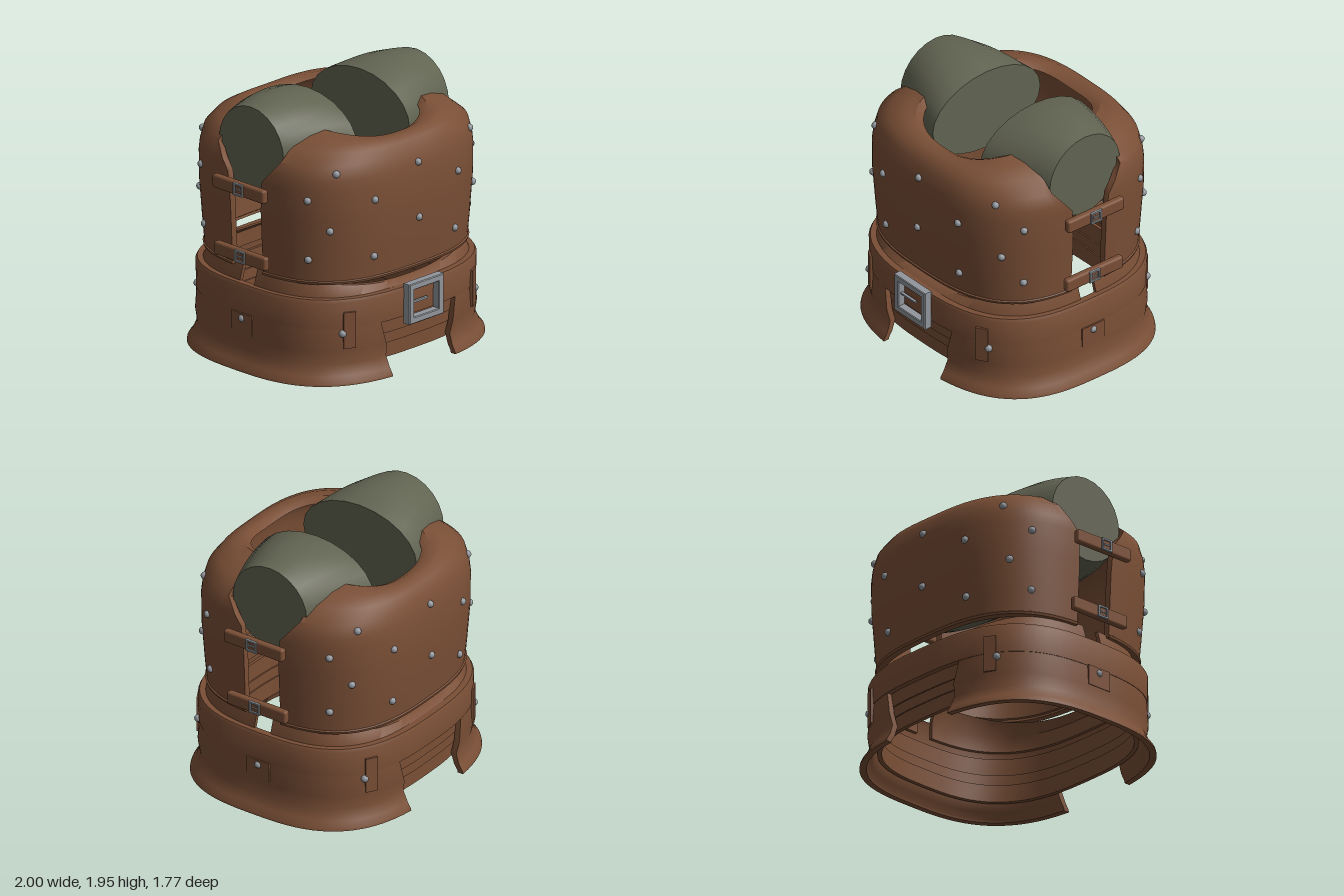
import * as THREE from 'three';
import { toCreasedNormals } from 'three/addons/utils/BufferGeometryUtils.js';
import { RoundedBoxGeometry } from 'three/addons/geometries/RoundedBoxGeometry.js';

const N = 2.85; // squareness of the body's plan outline
const leather = new THREE.MeshStandardMaterial({ color: 0x7a4f36 });
const olive = new THREE.MeshStandardMaterial({ color: 0x626452 });
const steel = new THREE.MeshStandardMaterial({ color: 0x92979d });
leather.name = 'brown leather';
olive.name = 'olive padding';
steel.name = 'grey steel';

const spow = (v, p) => Math.sign(v) * Math.pow(Math.abs(v), p);

// Thick curved shell facing +z. Row: [y, half width, half depth, z limit, dip at the middle].
// A limit of null closes the shell into a full ring.
function shell(rows, thick, steps = 40) {
  const inner = rows.map(([y, a, b, l, d]) => [y > 1.5 ? y - thick * 0.6 : y, a - thick, b - thick, l, d]).reverse();
  const loop = [...rows, ...inner], m = loop.length;
  const pos = [], index = [];
  for (let j = 0; j <= steps; j++) {
    for (const [y, a, b, l, dip = 0] of loop) {
      const max = l === null ? Math.PI : Math.acos(Math.pow(l / b, N / 2));
      const t = max * (2 * j / steps - 1);
      const x = a * spow(Math.sin(t), 2 / N), z = b * spow(Math.cos(t), 2 / N);
      pos.push(x, y - dip * (1 - (x / a) ** 2), z);
    }
  }
  const quad = (p, q, r, s) => index.push(p, q, r, p, r, s);
  for (let j = 0; j < steps; j++) for (let i = 0; i < m; i++) {
    const k = (i + 1) % m;
    quad(j * m + i, (j + 1) * m + i, (j + 1) * m + k, j * m + k);
  }
  if (rows[0][3] !== null) for (let i = 0; i < rows.length - 1; i++) {
    const e = steps * m;
    quad(i, i + 1, m - 2 - i, m - 1 - i);
    quad(e + m - 1 - i, e + m - 2 - i, e + i + 1, e + i);
  }
  const g = new THREE.BufferGeometry();
  g.setAttribute('position', new THREE.Float32BufferAttribute(pos, 3));
  g.setIndex(index);
  return toCreasedNormals(g, 0.7);
}

// Square buckle frame facing +z
function frame(w, h, bar, depth) {
  const s = new THREE.Shape();
  const rect = (p, x, y) => p.moveTo(-x, -y).lineTo(x, -y).lineTo(x, y).lineTo(-x, y).closePath();
  rect(s, w / 2, h / 2);
  s.holes.push(rect(new THREE.Path(), w / 2 - bar, h / 2 - bar));
  const e = bar * 0.12;
  return new THREE.ExtrudeGeometry(s, { depth: depth - 2 * e, bevelThickness: e, bevelSize: e, bevelOffset: -e, bevelSegments: 1 })
    .translate(0, 0, e - depth / 2);
}

export function createModel() {
  const root = new THREE.Group();
  root.name = 'leatherCuirass';
  const add = (name, geo, mat, x = 0, y = 0, z = 0, ry = 0) => {
    const mesh = new THREE.Mesh(geo, mat);
    mesh.name = name;
    mesh.position.set(x, y, z);
    mesh.rotation.y = ry;
    root.add(mesh);
    return mesh;
  };

  // Chest and back plates, curling over the shoulders to the neck
  const plateRows = [
    [0.72, 0.88, 0.795, 0.15], [0.738, 0.885, 0.8, 0.15], [0.745, 0.876, 0.79, 0.15],
    [0.9, 0.885, 0.805, 0.15], [1.2, 0.9, 0.83, 0.15], [1.42, 0.91, 0.825, 0.165],
    [1.5, 0.905, 0.815, 0.23], [1.6, 0.88, 0.79, 0.31], [1.69, 0.77, 0.745, 0.31, 0.025],
    [1.745, 0.63, 0.69, 0.34, 0.05], [1.77, 0.52, 0.63, 0.36, 0.075],
  ];
  const plate = shell(plateRows, 0.05);
  add('chestPlate', plate, leather);
  add('backPlate', plate, leather, 0, 0, 0, Math.PI);

  // Waist lining, open at the sides
  const lining = shell([[0.5, 0.885, 0.8, 0.07], [0.62, 0.885, 0.8, 0.07, 0.01], [0.75, 0.845, 0.745, 0.07, 0.1]], 0.03);
  add('frontLining', lining, leather);
  add('backLining', lining, leather, 0, 0, 0, Math.PI);

  // Belt and the overlapping inner bands below it
  const ring = (y0, y1, a, b, t) => shell([[y0, a, b, null], [y1, a, b, null]], t, 64);
  add('belt', shell([[0.405, 0.93, 0.84, null], [0.6, 0.932, 0.845, null], [0.622, 0.92, 0.835, null]], 0.05, 64), leather);
  add('lowerBand', ring(0.11, 0.24, 0.88, 0.78, 0.03), leather);
  add('middleBand', ring(0.22, 0.32, 0.89, 0.79, 0.03), leather);
  add('upperBand', ring(0.3, 0.45, 0.9, 0.8, 0.03), leather);

  // Flared skirt halves, parted at front and back
  const skirt = shell([
    [0, 1, 0.885, 0.31], [0.018, 0.997, 0.882, 0.31], [0.06, 0.965, 0.855, 0.31], [0.14, 0.93, 0.825, 0.315],
    [0.24, 0.936, 0.845, 0.33], [0.42, 0.925, 0.835, 0.37],
  ].map(([y, x, z, l]) => [y, z, x, l]), 0.045);
  add('leftSkirt', skirt, leather, 0, 0, 0, Math.PI / 2);
  add('rightSkirt', skirt, leather, 0, 0, 0, -Math.PI / 2);

  // Tapered shoulder rolls
  const roll = new THREE.CylinderGeometry(1, 1, 1, 24, 8).rotateZ(-Math.PI / 2);
  const p = roll.attributes.position;
  for (let i = 0; i < p.count; i++) {
    const t = p.getX(i), bulge = 0.035 * (1 - 4 * t * t);
    p.setXYZ(i, 0.54 + 0.56 * t, 1.6 + p.getY(i) * (0.316 + bulge), p.getZ(i) * (0.405 - 0.17 * t + bulge * 0.4));
  }
  const rollGeo = toCreasedNormals(roll, 0.7);
  add('leftShoulderRoll', rollGeo, olive, 0, 0, -0.02);
  add('rightShoulderRoll', rollGeo, olive, 0, 0, -0.02, Math.PI);

  // Studs on both plates, set on the curved surface
  const stud = new THREE.SphereGeometry(0.027, 12, 8);
  const surfaceZ = (x, y) => {
    const i = plateRows.findIndex(r => r[0] >= y), lo = plateRows[i - 1], hi = plateRows[i];
    const t = (y - lo[0]) / (hi[0] - lo[0]);
    const a = lo[1] + (hi[1] - lo[1]) * t, b = lo[2] + (hi[2] - lo[2]) * t;
    return b * Math.pow(1 - Math.pow(x / a, N), 1 / N);
  };
  const studs = [[0, 1.51], [0, 1.1], [0.66, 1.55], [0.41, 1.33], [0.81, 1.355], [0.705, 1.13], [0.79, 0.905], [0.4, 0.9]];
  for (const [x, y] of studs) for (const sx of x ? [1, -1] : [1]) for (const sz of [1, -1]) {
    add('plateStud', stud, steel, sx * x, y, sz * surfaceZ(x, y));
  }

  // Belt tabs and studs at the corners and sides
  for (const sx of [1, -1]) {
    for (const sz of [1, -1]) {
      add('cornerStud', stud, steel, sx * 0.655, 0.37, sz * 0.72);
      add('cornerTab', new THREE.BoxGeometry(0.09, 0.27, 0.03), leather, sx * 0.61, 0.395, sz * 0.742, sz > 0 ? sx * 0.52 : Math.PI - sx * 0.52);
    }
    add('sideStud', stud, steel, sx * 0.932, 0.37, 0);
    add('sideTab', new THREE.BoxGeometry(0.02, 0.15, 0.2), leather, sx * 0.93, 0.335, 0);

    // Side straps with small buckles
    for (const [x, y, z] of [[0.962, 1.352, 0.01], [0.935, 0.84, 0]]) {
      add('sideStrap', new RoundedBoxGeometry(0.055, 0.1, 0.51, 2, 0.018), leather, sx * x, y, z);
      add('strapBuckle', frame(0.095, 0.09, 0.015, 0.02), steel, sx * (x + 0.029), y, z + 0.01, sx * Math.PI / 2);
      add('strapPin', new THREE.BoxGeometry(0.012, 0.01, 0.05), steel, sx * (x + 0.03), y, z + 0.01);
    }
  }

  // Large front buckle
  add('beltBuckle', frame(0.34, 0.3, 0.048, 0.065), steel, 0, 0.502, 0.867);
  add('buckleProng', new THREE.BoxGeometry(0.16, 0.014, 0.02), steel, -0.045, 0.503, 0.867);
  return root;
}
